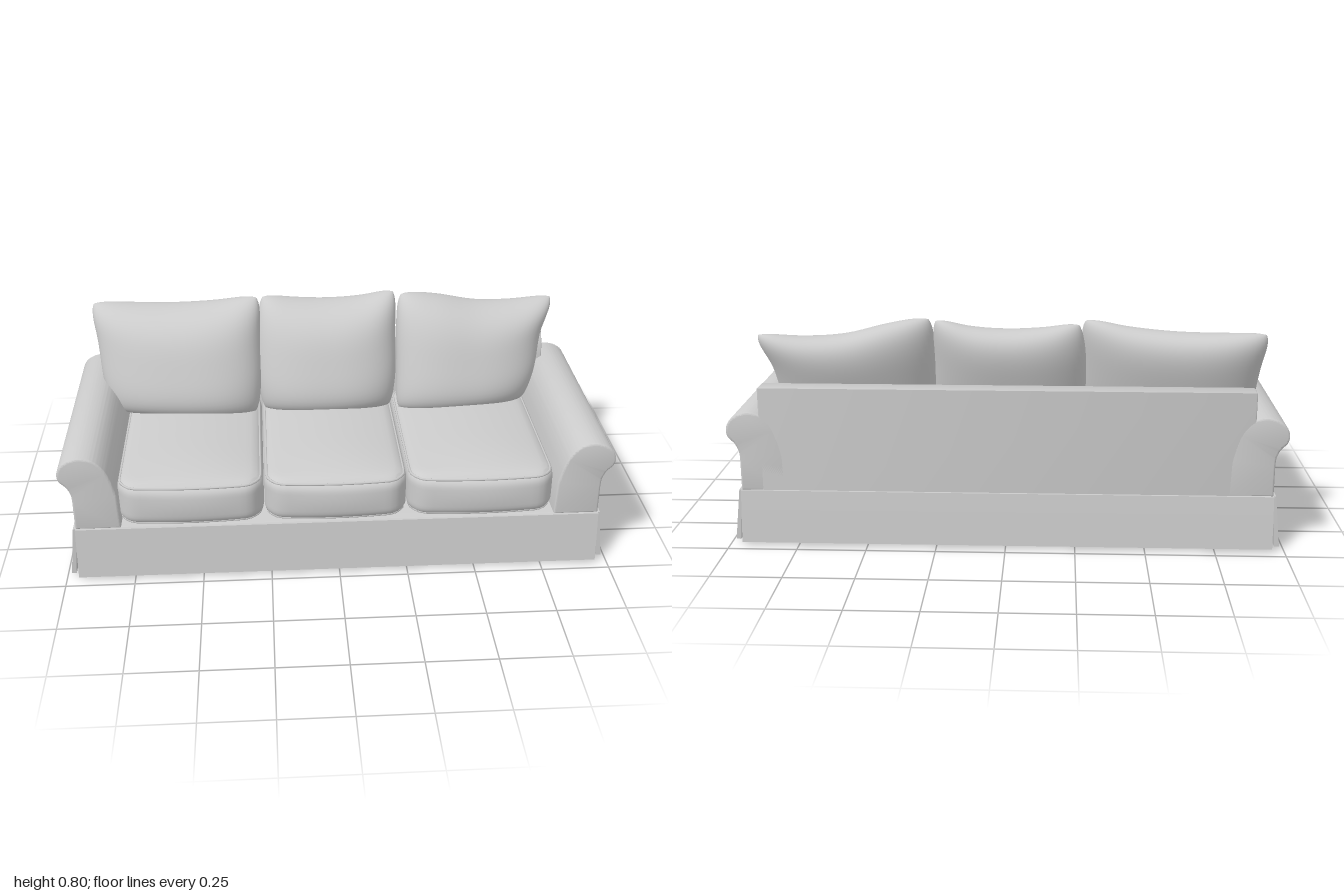
import * as THREE from 'three';
import { mergeVertices, mergeGeometries, toCreasedNormals } from 'three/addons/utils/BufferGeometryUtils.js';

const mat = new THREE.MeshStandardMaterial({ color: 0xcccccc });

function add(group, name, geometry) {
  const mesh = new THREE.Mesh(geometry, mat);
  mesh.name = name;
  group.add(mesh);
  return mesh;
}

// Extrudes a profile symmetrically along its depth, with a small soft bevel
function extrude(shape, length, bevel) {
  const geo = new THREE.ExtrudeGeometry(shape, {
    depth: length - 2 * bevel, curveSegments: 10,
    bevelEnabled: bevel > 0, bevelThickness: bevel, bevelSize: bevel, bevelOffset: -bevel, bevelSegments: 3,
  });
  geo.translate(0, 0, -length / 2 + bevel);
  return toCreasedNormals(geo, 0.7);
}

const polygon = (pts) => new THREE.Shape(pts.map(([x, y]) => new THREE.Vector2(x, y)));

// Joins vertices so that the normals run smoothly over the whole surface
function smooth(geo) {
  geo.deleteAttribute('uv');
  geo.deleteAttribute('normal');
  const out = mergeVertices(geo, 1e-5);
  out.computeVertexNormals();
  return out;
}

function move(geo, rule) {
  const p = geo.attributes.position;
  const v = new THREE.Vector3();
  for (let i = 0; i < p.count; i++) {
    rule(v.fromBufferAttribute(p, i));
    p.setXYZ(i, v.x, v.y, v.z);
  }
  return geo;
}

// Smooth value through evenly spaced samples, t from 0 to 1
function through(values) {
  const curve = new THREE.SplineCurve(values.map((y, i) => new THREE.Vector2(i, y)));
  return (t) => curve.getPoint(t).y;
}

// Seat cushion: rounded block, crowned on top and bulging at the front, with piping
function seatCushion(x0, x1) {
  const group = new THREE.Group();
  group.name = 'seatCushion';
  const half = new THREE.Vector3((x1 - x0) / 2, 0.08, 0.365);
  const corner = 0.07, edge = 0.035;
  const inner = new THREE.Vector3();
  const warp = (p) => {
    const { x: u, y: v, z: w } = p;
    p.multiply(half);
    // round the plan corners, then the horizontal edges
    inner.set(
      THREE.MathUtils.clamp(p.x, corner - half.x, half.x - corner), p.y,
      THREE.MathUtils.clamp(p.z, corner - half.z, half.z - corner));
    const out = p.clone().sub(inner);
    const reach = Math.max(Math.abs(out.x), Math.abs(out.z));
    if (reach > 0) out.setLength(reach);
    const drop = Math.max(0, Math.abs(p.y) - (half.y - edge));
    const side = Math.max(0, reach - (corner - edge));
    const q = Math.max(drop, side);
    if (drop > 0 && side > 0) {
      const k = q / Math.hypot(drop, side);
      out.setLength(corner - edge + side * k);
      p.y = Math.sign(p.y) * (half.y - edge + drop * k);
    }
    p.x = inner.x + out.x;
    p.z = inner.z + out.z;
    const crown = (1 - u * u) * (1 - w ** 4);
    p.y += v > 0 ? 0.03 * v * crown : 0;
    p.z += 0.03 * Math.max(0, w) ** 3 * (1 - u * u) * (1 - 0.4 * v * v);
    p.add(new THREE.Vector3((x0 + x1) / 2, 0.29, 0.065));
    return p;
  };
  add(group, 'seatCushionBody', smooth(move(new THREE.BoxGeometry(2, 2, 2, 24, 14, 30), warp)));
  for (const v of [-1, 1]) {
    const path = [];
    for (let i = 0; i < 64; i++) {
      const s = Math.floor(i / 16), t = (i % 16) / 8 - 1;
      const [x, z] = [[t, 1], [1, -t], [-t, -1], [-1, t]][s];
      path.push(warp(new THREE.Vector3(x, v, z)));
    }
    add(group, 'seatPiping', new THREE.TubeGeometry(new THREE.CatmullRomCurve3(path, true), 96, 0.005, 6, true));
  }
  return group;
}

// Back cushion: a pillow whose outline follows the left, right and top edge samples
function backCushion({ left, right, top, yaw }) {
  const L = through(left), R = through(right), T = through(top);
  const n = 28;
  const face = (sign) => {
    const geo = new THREE.PlaneGeometry(2, 2, n, n);
    move(geo, (p) => {
      const u = Math.sin(p.x * Math.PI / 2), v = Math.sin(p.y * Math.PI / 2);
      const a = (1 + u * (1 - 0.05 * v ** 8)) / 2;
      const b = (1 + v * (1 - 0.05 * u ** 8)) / 2;
      const puff = Math.sqrt(Math.max(0, (1 - Math.abs(u) ** 2.4) * (1 - Math.abs(v) ** 3.6)));
      p.x = THREE.MathUtils.lerp(L(b), R(b), a);
      p.y = THREE.MathUtils.lerp(0.36, T(a), b);
      p.z = -0.15 - 0.14 * b + yaw * u + (sign > 0 ? 0.14 : -0.115) * puff;
    });
    if (sign < 0) {
      const idx = geo.index;
      for (let i = 0; i < idx.count; i += 3) {
        const k = idx.getX(i);
        idx.setX(i, idx.getX(i + 1));
        idx.setX(i + 1, k);
      }
    }
    return geo;
  };
  return smooth(mergeGeometries([face(1), face(-1)]));
}

export function createModel() {
  const sofa = new THREE.Group();
  sofa.name = 'sofa';

  // Base block
  add(sofa, 'base', extrude(polygon([[-0.955, 0], [0.955, 0], [0.955, 0.205], [-0.955, 0.205]]), 0.87, 0.006));

  // Flared skirt panels on all four sides
  const skirt = (reach, length) => {
    const shape = new THREE.Shape();
    shape.moveTo(reach - 0.004, 0.203);
    shape.lineTo(reach - 0.004, 0.18);
    shape.quadraticCurveTo(reach + 0.005, 0.08, reach + 0.01, 0.012);
    shape.lineTo(reach + 0.027, 0.012);
    shape.quadraticCurveTo(reach + 0.02, 0.08, reach + 0.006, 0.203);
    return extrude(shape, length, 0);
  };
  const sideSkirt = skirt(0.957, 0.87), longSkirt = skirt(0.438, 1.91);
  for (const turn of [0, 1]) {
    add(sofa, 'sideSkirt', sideSkirt).rotation.y = turn * Math.PI;
    add(sofa, 'longSkirt', longSkirt).rotation.y = (turn - 0.5) * Math.PI;
  }

  // Rolled arms
  const arm = new THREE.Shape();
  arm.moveTo(0.79, 0.2);
  arm.lineTo(0.955, 0.2);
  arm.lineTo(0.955, 0.31);
  arm.splineThru([[0.958, 0.345], [0.972, 0.375], [0.995, 0.4], [1, 0.43], [0.985, 0.463], [0.955, 0.484],
    [0.915, 0.492], [0.87, 0.48], [0.835, 0.445], [0.812, 0.395], [0.795, 0.33]].map(([x, y]) => new THREE.Vector2(x, y)));
  const armGeo = extrude(arm, 0.87, 0.008);
  for (const turn of [0, 1]) add(sofa, 'arm', armGeo).rotation.y = turn * Math.PI;

  // Back rest with sloping front edge (profile drawn as -z, y)
  const back = add(sofa, 'backRest', extrude(polygon([[0.3, 0.2], [0.435, 0.2], [0.435, 0.582],
    [0.36, 0.582], [0.345, 0.572], [0.325, 0.53], [0.317, 0.49]]), 1.76, 0.005));
  back.rotation.y = Math.PI / 2;

  // Three seat cushions
  for (const [x0, x1] of [[-0.8, -0.272], [-0.27, 0.25], [0.252, 0.79]]) sofa.add(seatCushion(x0, x1));

  // Three slumped back cushions
  const cushions = [
    { left: [-0.87, -0.895, -0.91, -0.935], right: [-0.28, -0.27, -0.27, -0.265],
      top: [0.775, 0.765, 0.765, 0.78, 0.812], yaw: 0.03 },
    { left: [-0.27, -0.285, -0.285, -0.27], right: [0.25, 0.265, 0.265, 0.27],
      top: [0.8, 0.778, 0.77, 0.78, 0.812], yaw: 0 },
    { left: [0.26, 0.265, 0.265, 0.27], right: [0.79, 0.83, 0.855, 0.91],
      top: [0.812, 0.785, 0.748, 0.742, 0.76], yaw: -0.03 },
  ];
  for (const c of cushions) add(sofa, 'backCushion', backCushion(c));

  return sofa;
}
